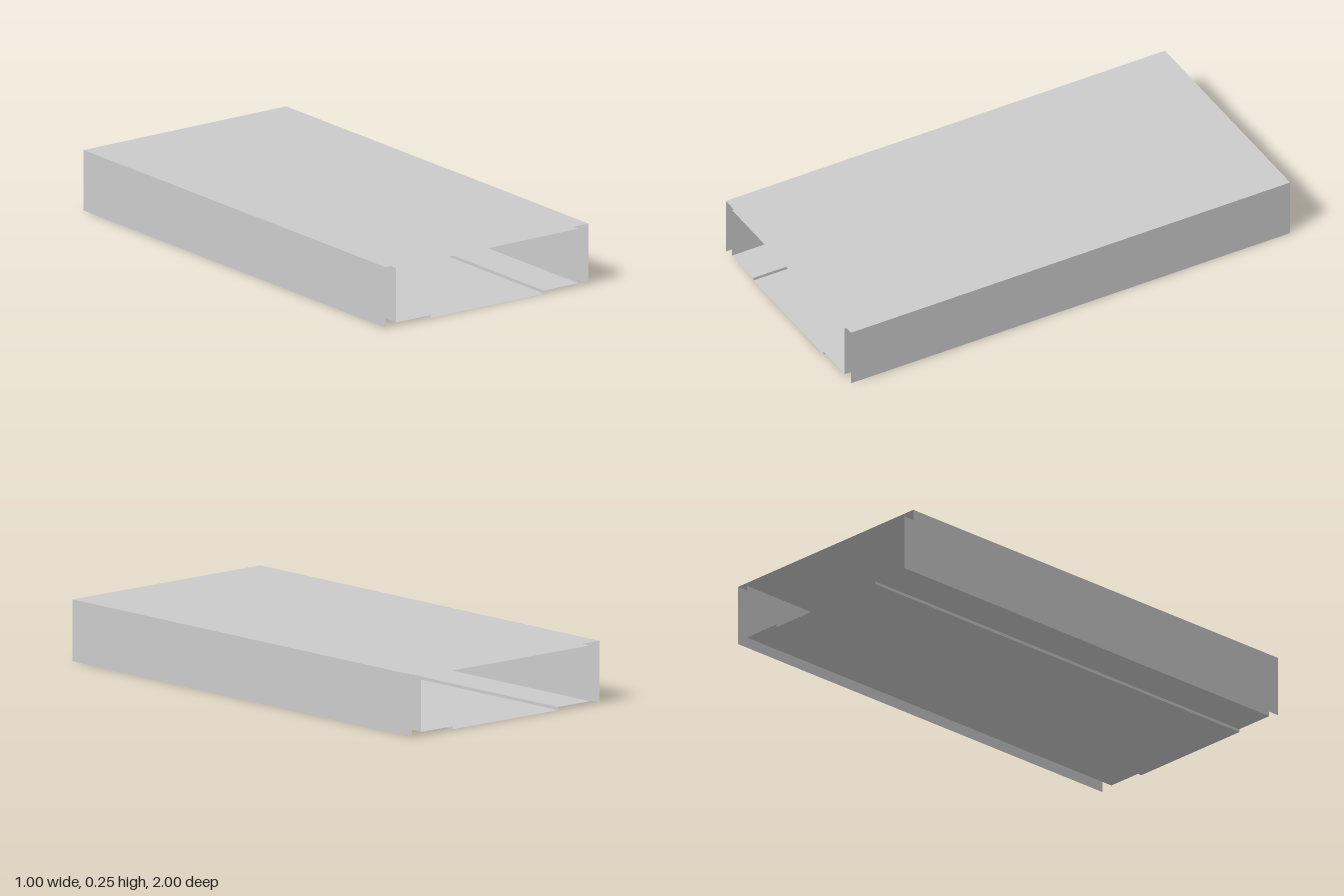
import * as THREE from 'three';

const LENGTH = 2;
const material = new THREE.MeshStandardMaterial({
  color: 0xcccccc, flatShading: true, side: THREE.DoubleSide,
});

// Thin sheet folded along a clockwise cross-section, open at both ends
function foldedSheet(name, profile) {
  const positions = [];
  const h = LENGTH / 2;
  for (let i = 0; i < profile.length - 1; i++) {
    const [ax, ay] = profile[i];
    const [bx, by] = profile[i + 1];
    positions.push(
      ax, ay, h, bx, by, h, bx, by, -h,
      ax, ay, h, bx, by, -h, ax, ay, -h,
    );
  }
  const geometry = new THREE.BufferGeometry();
  geometry.setAttribute('position', new THREE.Float32BufferAttribute(positions, 3));
  geometry.computeVertexNormals();
  const mesh = new THREE.Mesh(geometry, material);
  mesh.name = name;
  return mesh;
}

// Completes a left half profile with its mirror image
const mirrored = (half) => [...half, ...half.map(([x, y]) => [-x, y]).reverse()];

export function createModel() {
  const model = new THREE.Group();
  model.name = 'ductSleeve';

  // Outer cover: top and two side walls, open underneath
  model.add(foldedSheet('outerCover', mirrored([[-0.5, 0], [-0.5, 0.25]])));

  // Inner channel: walls and ceiling just inside the cover
  model.add(foldedSheet('innerChannel', mirrored([[-0.45, 0.0125], [-0.45, 0.2375]])));

  // Floor: raised side strips stepping down to a wide middle panel
  const floor = mirrored([[-0.45, 0.0125], [-0.28, 0.0125], [-0.28, 0]]);
  model.add(foldedSheet('steppedFloor', floor.reverse()));

  return model;
}
